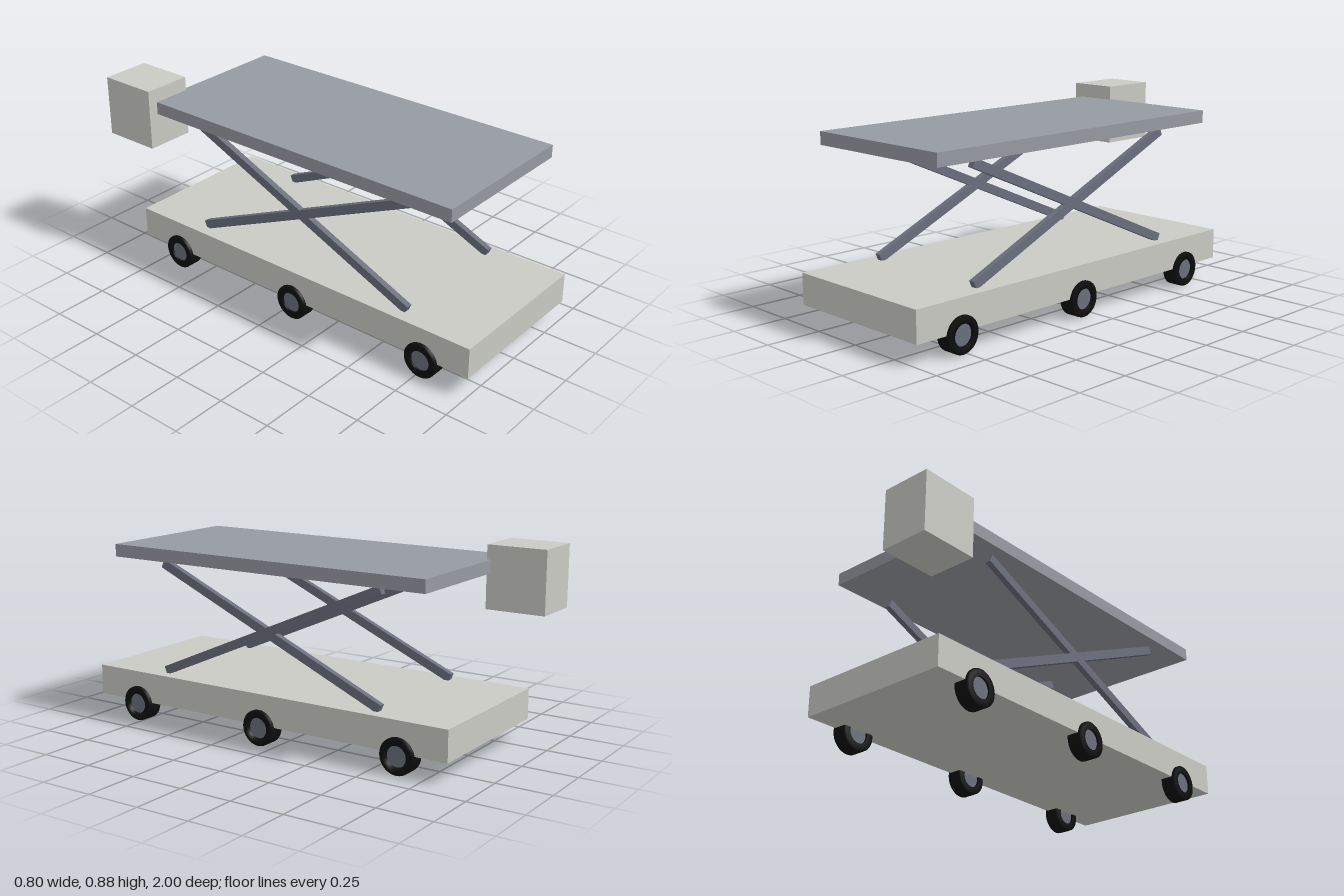
import * as THREE from 'three';

const mat = (name, color) => {
  const m = new THREE.MeshStandardMaterial({ color });
  m.name = name;
  return m;
};

export function createModel() {
  const model = new THREE.Group();
  model.name = 'scissorLiftCart';
  const bodyGrey = mat('bodyGrey', 0xcbcbc5);
  const deckGrey = mat('deckGrey', 0x969aa1);
  const steel = mat('steelBlue', 0x6b6f7d);
  const rubber = mat('tyreBlack', 0x0e0e0f);

  const add = (name, geometry, material, x, y, z, parent = model) => {
    const mesh = new THREE.Mesh(geometry, material);
    mesh.name = name;
    mesh.position.set(x, y, z);
    parent.add(mesh);
    return mesh;
  };

  const midX = 0.016; // centre line of the cart

  // Base, lifting deck and the control box at the rear corner
  add('chassis', new THREE.BoxGeometry(0.742, 0.14, 1.858), bodyGrey, midX, 0.163, 0.071);
  add('platform', new THREE.BoxGeometry(0.742, 0.058, 1.628), deckGrey, midX, 0.791, 0.07);
  add('controlBox', new THREE.BoxGeometry(0.23, 0.28, 0.274), bodyGrey, -0.287, 0.745, -0.863);

  // Crossed scissor arms on each side
  const armGeo = new THREE.BoxGeometry(0.028, 0.04, 1.256);
  for (const side of [-1, 1]) {
    for (const tilt of [-1, 1]) {
      const arm = add('scissorArm', armGeo, steel, midX + side * 0.303, 0.494, 0.071);
      arm.rotation.x = tilt * 0.41;
    }
  }

  // Tyre ring profile (radius, width) with slightly bevelled shoulders
  const tyreProfile = [
    [0.047, -0.036], [0.07, -0.036], [0.081, -0.032], [0.081, 0.032],
    [0.07, 0.036], [0.047, 0.036], [0.047, -0.036],
  ].map(([r, w]) => new THREE.Vector2(r, w));
  const tyreGeo = new THREE.LatheGeometry(tyreProfile, 32).rotateZ(-Math.PI / 2);
  const hubGeo = new THREE.CylinderGeometry(0.048, 0.048, 0.052, 32).rotateZ(-Math.PI / 2);

  // Three wheels per side
  for (const side of [-1, 1]) {
    for (const z of [0.77, 0.071, -0.628]) {
      const wheel = new THREE.Group();
      wheel.name = 'wheel';
      wheel.position.set(midX + side * 0.348, 0.081, z);
      add('tyre', tyreGeo, rubber, 0, 0, 0, wheel);
      add('hub', hubGeo, steel, 0, 0, 0, wheel);
      model.add(wheel);
    }
  }
  return model;
}
